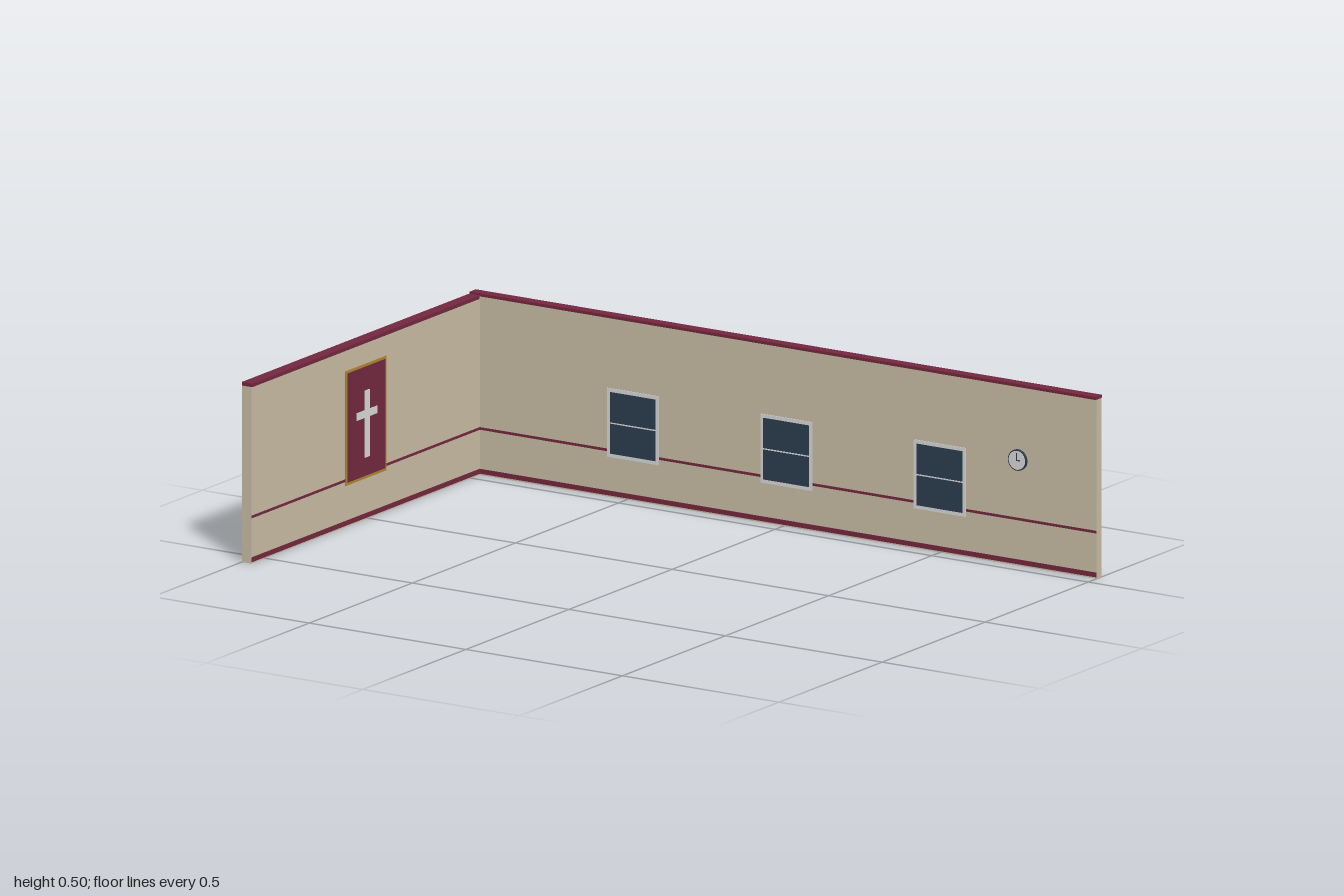
import * as THREE from 'three';

const mat = (name, color) => {
  const m = new THREE.MeshStandardMaterial({ color });
  m.name = name;
  return m;
};

export function createModel() {
  const model = new THREE.Group();
  model.name = 'cornerWalls';
  const plaster = mat('plaster', 0xccc0a6);
  const maroon = mat('maroon', 0x752840);
  const white = mat('offWhite', 0xdcdcdc);
  const glass = mat('darkGlass', 0x2c3e50);
  const gold = mat('gold', 0xb08a30);

  // Box given by its minimum and maximum corners
  const box = (name, material, [x0, y0, z0], [x1, y1, z1], parent = model) => {
    const mesh = new THREE.Mesh(new THREE.BoxGeometry(x1 - x0, y1 - y0, z1 - z0), material);
    mesh.position.set((x0 + x1) / 2, (y0 + y1) / 2, (z0 + z1) / 2);
    mesh.name = name;
    parent.add(mesh);
    return mesh;
  };

  const BACK = -0.541; // inner face of the back wall
  const SIDE = -0.97; // inner face of the side wall
  const END = 0.567;

  // Walls with their caps
  box('backWall', plaster, [-1, 0, -0.565], [1, 0.494, BACK]);
  box('backWallCap', maroon, [-1, 0.494, -0.567], [1, 0.502, -0.536]);
  box('sideWall', plaster, [-1, 0, BACK], [SIDE, 0.487, END]);
  box('sideWallCap', maroon, [-1, 0.487, -0.536], [-0.967, 0.497, END]);

  // Baseboards and thin rails on the inner faces
  for (const [name, y0, y1, depth] of [['baseboard', 0.004, 0.017, 0.002], ['rail', 0.125, 0.132, 0.0015]]) {
    box(name + 'Back', maroon, [SIDE, y0, BACK], [1, y1, BACK + depth]);
    box(name + 'Side', maroon, [SIDE, y0, BACK], [SIDE + depth, y1, END]);
  }

  // Three windows: frame, glass and a slim crossbar
  for (const x of [-0.48, 0.01, 0.5]) {
    const win = new THREE.Group();
    win.name = 'window';
    model.add(win);
    box('windowFrame', white, [x - 0.083, 0.11, BACK], [x + 0.083, 0.3, BACK + 0.002], win);
    box('windowGlass', glass, [x - 0.073, 0.12, BACK], [x + 0.073, 0.29, BACK + 0.003], win);
    box('windowCrossbar', white, [x - 0.073, 0.2035, BACK], [x + 0.073, 0.2065, BACK + 0.005], win);
  }

  // Wall clock
  const clock = new THREE.Group();
  clock.name = 'clock';
  clock.position.set(0.75, 0.292, BACK);
  model.add(clock);
  const disc = (name, material, radius, depth) => {
    const mesh = new THREE.Mesh(new THREE.CylinderGeometry(radius, radius, depth, 32), material);
    mesh.rotation.x = Math.PI / 2;
    mesh.position.z = depth / 2;
    mesh.name = name;
    clock.add(mesh);
  };
  disc('clockRim', glass, 0.029, 0.007);
  disc('clockFace', white, 0.026, 0.008);
  box('minuteHand', glass, [-0.0015, 0, 0.008], [0.0015, 0.02, 0.009], clock);
  box('hourHand', glass, [-0.0015, -0.0015, 0.008], [0.011, 0.0015, 0.0088], clock);

  // Hanging banner with a gold border and a cross
  const banner = new THREE.Group();
  banner.name = 'banner';
  banner.position.set(SIDE, 0, 0.0135);
  model.add(banner);
  box('bannerBorder', gold, [0, 0.114, -0.098], [0.003, 0.43, 0.098], banner);
  box('bannerCloth', maroon, [0, 0.122, -0.091], [0.0045, 0.423, 0.091], banner);
  box('crossUpright', white, [0, 0.173, -0.011], [0.0065, 0.358, 0.011], banner);
  box('crossArm', white, [0, 0.283, -0.05], [0.006, 0.304, 0.05], banner);

  return model;
}
